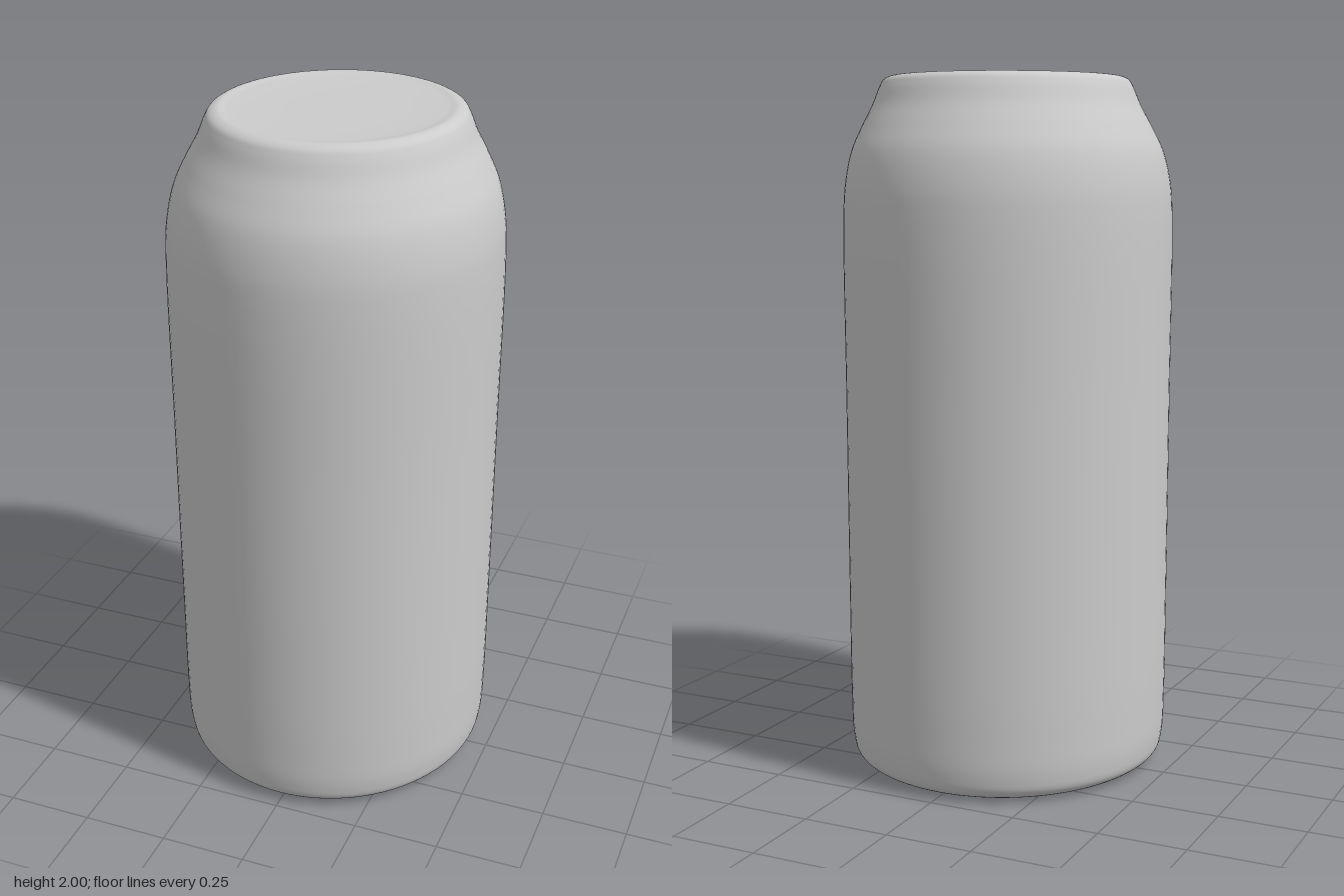
import * as THREE from 'three';

// Revolve a smoothed [radius, height] profile, slightly flattened across x
function revolve(name, points, steps, material) {
  const curve = new THREE.CatmullRomCurve3(
    points.map(([r, y]) => new THREE.Vector3(r, y, 0)), false, 'centripetal');
  const profile = curve.getPoints(steps).map(p => new THREE.Vector2(Math.max(p.x, 0), p.y));
  const mesh = new THREE.Mesh(new THREE.LatheGeometry(profile, 96), material);
  mesh.name = name;
  mesh.scale.x = 0.947;
  return mesh;
}

export function createModel() {
  const group = new THREE.Group();
  group.name = 'can';
  const material = new THREE.MeshStandardMaterial({ color: 0xcccccc, side: THREE.DoubleSide });

  // Thin shell: open base with a rolled lip, straight wall, tapered shoulder, rounded rim and lid
  const shell = revolve('canShell', [
    [0.36, 0.008], [0.40, 0.004], [0.44, 0.012], [0.473, 0.035], [0.485, 0.08],
    [0.49, 0.2], [0.492, 0.5], [0.494, 1.1], [0.495, 1.6],
    [0.488, 1.7], [0.467, 1.79], [0.433, 1.86], [0.40, 1.92],
    [0.378, 1.97], [0.365, 1.99], [0.342, 2.0], [0.31, 1.997],
    [0.2, 1.993], [0, 1.992],
  ], 140, material);

  // The neck leans slightly towards the back
  const pos = shell.geometry.attributes.position;
  for (let i = 0; i < pos.count; i++) {
    const t = THREE.MathUtils.smoothstep(pos.getY(i), 1.65, 2);
    pos.setZ(i, pos.getZ(i) - 0.012 * t);
  }
  group.add(shell);
  return group;
}
